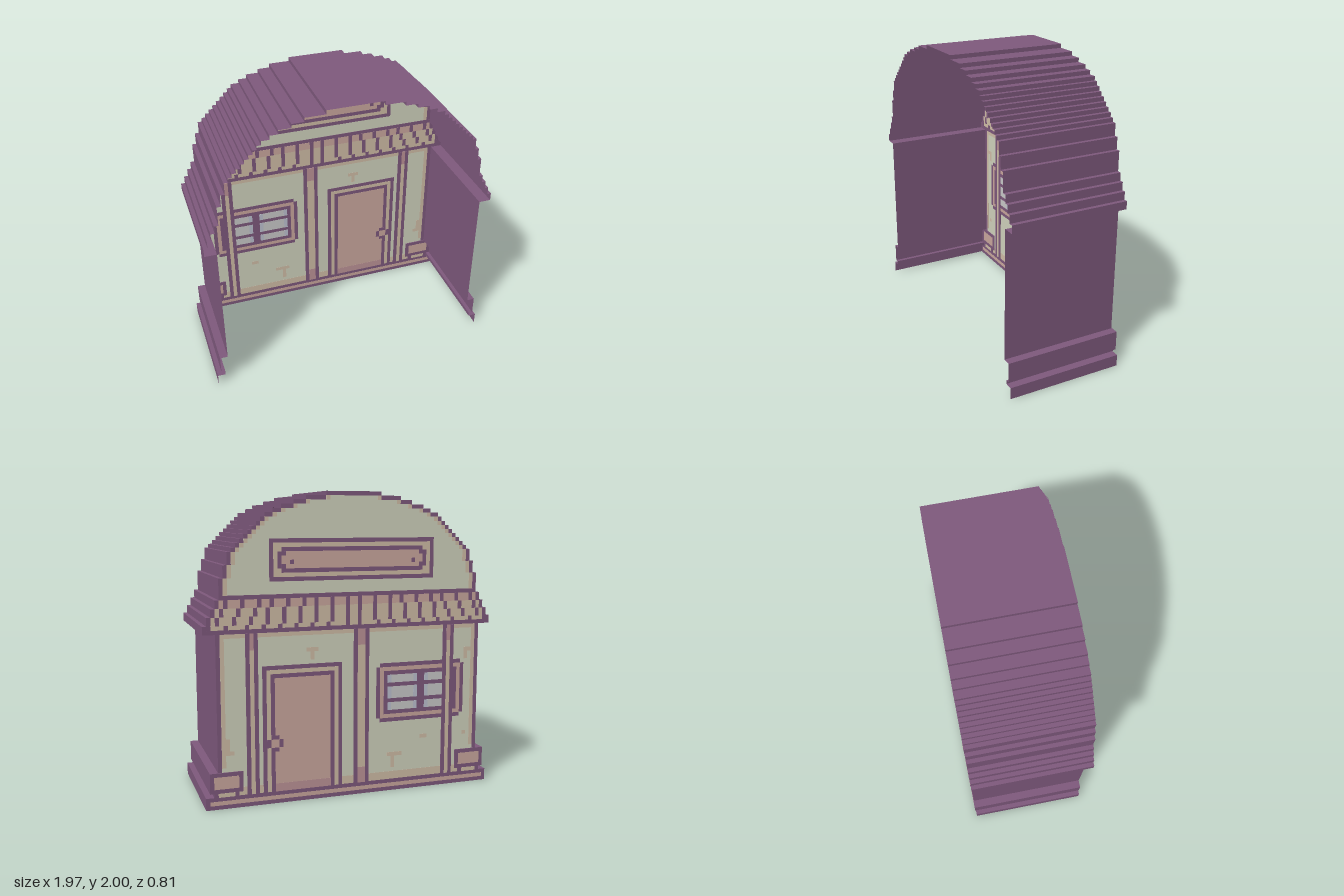
import * as THREE from 'three';
import { mergeGeometries } from 'three/addons/utils/BufferGeometryUtils.js';

const P = 2 / 75;            // one cell of the stepped facade grid
const DEPTH = 0.4, FACE_Z = -0.397;
const PLUM = 0x805a7e, CREAM = 0xd3d5c0, TAN = 0xd3bfa9, PINK = 0xcdaaa0,
  ROSE = 0xc0969a, GLASS = 0xdfe2df, SHADE = 0xbfc4d2;

// Half silhouette from the ground up: [half width, top row]
const STEPS = [[37, 3], [35, 4], [36, 9], [34, 42], [37, 44], [36, 46], [35, 48], [34, 50],
  [33, 55], [32, 58], [31, 61], [30, 62], [29, 63], [28, 64], [27, 65], [26, 66], [25, 67],
  [24, 68], [23, 69], [22, 70], [20, 71], [18, 72], [15, 73], [12, 74], [7, 75]];
const halfWidth = row => (STEPS.find(s => row < s[1]) || [0])[0];

// Flat panels seen from both sides; rects are [x0, y0, x1, y1] in cells
function panel(name, color, layer, rects) {
  const d = 0.0018 + layer * 0.0016;
  const geo = mergeGeometries(rects.map(([x0, y0, x1, y1]) =>
    new THREE.BoxGeometry((x1 - x0) * P, (y1 - y0) * P, d)
      .translate((x0 + x1) / 2 * P, (y0 + y1) / 2 * P, FACE_Z)));
  const mesh = new THREE.Mesh(geo, new THREE.MeshStandardMaterial({ color }));
  mesh.name = name;
  return mesh;
}
const mirror = rects => rects.concat(rects.map(([a, b, c, d]) => [-c, b, -a, d]));

// Stepped shell swept front to back, open at the front and underneath
function makeShell() {
  const half = [];
  let y = 0;
  for (const [w, top] of STEPS) {
    half.push([w, y], [w, top]);
    y = top;
  }
  const path = [...half, ...half.map(([x, v]) => [-x, v]).reverse()];
  const pos = [];
  for (let i = 0; i < path.length - 1; i++) {
    const [ax, ay] = path[i].map(v => v * P), [bx, by] = path[i + 1].map(v => v * P);
    pos.push(ax, ay, DEPTH, ax, ay, -DEPTH, bx, by, -DEPTH,
      ax, ay, DEPTH, bx, by, -DEPTH, bx, by, DEPTH);
  }
  const geo = new THREE.BufferGeometry();
  geo.setAttribute('position', new THREE.Float32BufferAttribute(pos, 3));
  geo.computeVertexNormals();
  const shell = new THREE.Mesh(geo, new THREE.MeshStandardMaterial(
    { color: PLUM, side: THREE.DoubleSide, flatShading: true }));
  shell.name = 'shell';
  return shell;
}

function group(name, ...parts) {
  const g = new THREE.Group();
  g.name = name;
  g.add(...parts);
  return g;
}

export function createModel() {
  const model = group('shopHouse', makeShell());

  // Facade backing and gable wall
  let y = 0;
  const backing = STEPS.map(([w, top]) => {
    const r = [-w, y, w, top];
    y = top;
    return r;
  });
  const gable = [], gableEdge = [];
  for (let row = 51; row < 74; row++) {
    const w = Math.min(halfWidth(row) - 1, halfWidth(row + 1));
    gable.push([-w, row, w, row + 1]);
    gableEdge.push([w - 1, row, w, row + 1]);
  }
  model.add(group('facade',
    panel('facadeOutline', PLUM, 0, backing),
    panel('gableWall', CREAM, 1, gable),
    panel('gableEdge', TAN, 2, mirror(gableEdge)),
    panel('lowerWall', CREAM, 1, [[-33, 3, 33, 42]]),
    panel('wallShade', TAN, 2, [[-33, 41, 33, 42], [-33, 3, 33, 5],
      ...mirror([[32, 10, 33, 41]])]),
    panel('wallCracks', TAN, 2, [[9, 37, 12, 38], [10, 35, 11, 37], [-32, 35, -30, 36],
      [-31, 33, -30, 35], [-13, 9, -9, 10], [-11, 6, -10, 9], [-20, 13, -18, 14],
      [31, 13, 32, 17], [30, 13, 31, 14], [-31, 13, -30, 14]])));

  // Base strip
  model.add(group('base', panel('baseOutline', PLUM, 2, [[-37, 0, 37, 3]]),
    panel('baseStrip', PINK, 3, [[-36, 1, 36, 2]])));

  // Tiled awning with joints that fan outwards
  const joints = [];
  [[48, 50], [46, 48], [44, 46], [43, 44]].forEach(([y0, y1], band) => {
    for (let i = 0; i < 9; i++) {
      const x = Math.round((i + 0.35) * (3.7 + band * 0.15));
      joints.push([x, y0, x + 1, y1]);
    }
  });
  model.add(group('awning',
    panel('awningOutline', PLUM, 3, [[-37, 42, 37, 44], [-36, 44, 36, 46], [-35, 46, 35, 48],
      [-34, 48, 34, 50], [-33, 50, 33, 51]]),
    panel('upperTiles', PINK, 4, [[-33, 48, 33, 50]]),
    panel('lowerTiles', TAN, 4, [[-36, 43, 36, 44], [-35, 44, 35, 46], [-34, 46, 34, 48]]),
    panel('tileJoints', PLUM, 5, mirror(joints))));

  // Sign board
  model.add(group('signBoard',
    panel('signOutline', PLUM, 2, [[-21, 54, 21, 64]]),
    panel('signFrame', TAN, 3, [[-20, 55, 20, 63]]),
    panel('signInnerOutline', PLUM, 4, [[-18, 56, 18, 62], [-19, 57, 19, 61]]),
    panel('signPanel', PINK, 5, [[-17, 57, 17, 61], [-18, 58, 18, 60]]),
    panel('signPins', PLUM, 6, mirror([[15, 58, 16, 59], [17, 57, 18, 58], [17, 60, 18, 61]]))));

  // Door
  model.add(group('door',
    panel('doorOutline', PLUM, 3, [[3, 3, 23, 34]]),
    panel('doorFrame', TAN, 4, [[4, 3, 22, 33]]),
    panel('doorInnerOutline', PLUM, 5, [[5, 3, 21, 32]]),
    panel('doorLeaf', PINK, 6, [[6, 3, 20, 31]]),
    panel('doorFoot', ROSE, 7, [[6, 3, 20, 5]]),
    panel('knobOutline', PLUM, 7, [[19, 13, 21, 17], [18, 14, 22, 16]]),
    panel('knob', PINK, 8, [[19, 14, 21, 16]])));

  // Window
  const rows = [[21, 23], [24, 27], [28, 30]], cols = [[-25, -19], [-17, -9]];
  const panes = [], paneShade = [];
  for (const [y0, y1] of rows) for (const [x0, x1] of cols) {
    panes.push([x0, y0, x1, y1]);
    paneShade.push([x1 - 1, y0, x1, y1], [x0, y0, x0 + 1, y1]);
  }
  model.add(group('window',
    panel('windowOutline', PLUM, 3, [[-29, 18, -7, 33], [-30, 19, -6, 32]]),
    panel('windowFrame', PINK, 4, [[-29, 19, -7, 32]]),
    panel('windowInnerOutline', PLUM, 5, [[-28, 20, -8, 31]]),
    panel('windowPanes', GLASS, 6, panes),
    panel('paneShade', SHADE, 7, paneShade)));

  // Posts
  model.add(group('posts',
    panel('postOutlines', PLUM, 8, [...mirror([[24, 3, 27, 42]]), [-4, 3, 0, 42]]),
    panel('postFaces', TAN, 9, [...mirror([[25, 3, 26, 42]]), [-3, 3, -1, 42]]),
    panel('postEnds', ROSE, 10, [[-3, 38, -1, 42], [-3, 3, -1, 7],
      ...mirror([[25, 38, 26, 42]])])));

  // Planters beside the walls
  model.add(group('planters',
    panel('planterOutlines', PLUM, 9, mirror([[28, 4, 36, 9], [29, 3, 35, 4]])),
    panel('planterFaces', PINK, 10, mirror([[29, 5, 35, 8]])),
    panel('planterFeet', TAN, 10, mirror([[30, 3, 34, 4]]))));

  return model;
}
